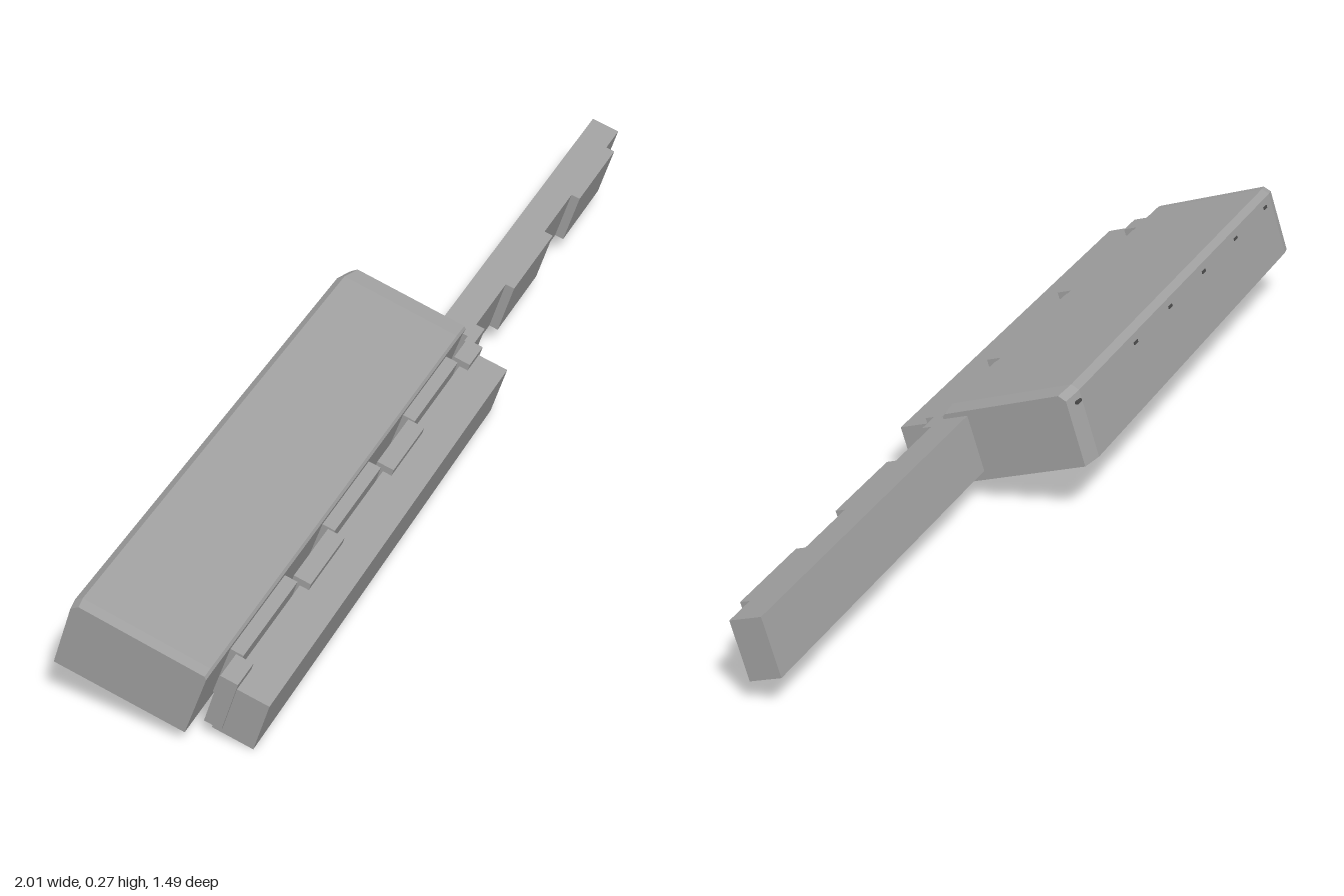
import * as THREE from 'three';

export function createModel() {
  const grey = new THREE.MeshStandardMaterial({ color: 0xa0a0a0 });
  grey.name = 'plain grey';
  const dark = new THREE.MeshStandardMaterial({ color: 0x4a4a4a });
  dark.name = 'dark grey';

  const model = new THREE.Group();
  model.name = 'hingedCase';
  // the whole case lies diagonally and leans back
  model.rotation.order = 'YXZ';
  model.rotation.y = Math.atan2(0.6, 0.8);
  model.rotation.x = THREE.MathUtils.degToRad(17.5);

  // box given by its limits: x along the case, y up, z toward the front
  function block(name, x0, x1, y0, y1, z0, z1, material = grey) {
    const mesh = new THREE.Mesh(new THREE.BoxGeometry(x1 - x0, y1 - y0, z1 - z0), material);
    mesh.position.set((x0 + x1) / 2, (y0 + y1) / 2, (z0 + z1) / 2);
    mesh.name = name;
    model.add(mesh);
  }

  // main body: bevelled section swept along x, narrowing slightly at both ends
  const section = new THREE.Shape([
    [0.004, 0.033], [0.295, 0.033], [0.295, 0.182], [0.281, 0.196], [0.004, 0.192], [-0.001, 0.186],
  ].map(([x, y]) => new THREE.Vector2(x, y)));
  const bodyGeo = new THREE.ExtrudeGeometry(section, { depth: 3, steps: 3, bevelEnabled: false });
  const stations = [-1.055, -1.03, 0.2, 0.248];
  const pos = bodyGeo.attributes.position;
  for (let i = 0; i < pos.count; i++) {
    const step = Math.round(pos.getZ(i));
    const inset = [0.004, 0, 0, 0.012][step];
    if (pos.getX(i) > 0.2) pos.setX(i, pos.getX(i) - inset);
    if (pos.getY(i) > 0.1) pos.setY(i, pos.getY(i) - inset * 0.4);
    pos.setZ(i, stations[step]);
  }
  bodyGeo.rotateY(Math.PI / 2);
  bodyGeo.computeVertexNormals();
  const body = new THREE.Mesh(bodyGeo, grey);
  body.name = 'body';
  model.add(body);

  // small slots along the back of the body
  for (const x of [0.215, -0.115, -0.33, -0.55, -0.77, -0.985]) {
    block('backSlot', x - 0.01, x + 0.01, 0.160, 0.166, -0.297, -0.29, dark);
  }

  // front rail
  block('frontRail', -1.015, 0.214, 0.039, 0.161, 0.034, 0.124);

  // hinge tabs on the rail, with body knuckles filling the spans between them
  const tabs = [[-1.02, -0.95], [-0.685, -0.52], [-0.27, -0.105], [0.15, 0.225]];
  tabs.forEach(([x0, x1], i) => {
    block('hingeTab', x0, x1, 0.05, 0.177, 0.016, 0.054);
    if (i < tabs.length - 1) {
      block('hingeKnuckle', x1 + 0.008, tabs[i + 1][0] - 0.008, 0.05, 0.174, -0.005, 0.029);
    }
  });

  // long bar leaving the end of the body
  block('extensionBar', 0.235, 1.202, 0.053, 0.177, -0.055, 0.013);

  // raised teeth on the front of the bar
  for (const [x0, x1] of [[0.215, 0.285], [0.462, 0.705], [0.882, 1.119]]) {
    block('barTooth', x0, x1, 0.053, 0.177, 0.013, 0.034);
  }

  const root = new THREE.Group();
  root.name = 'model';
  root.add(model);
  return root;
}
